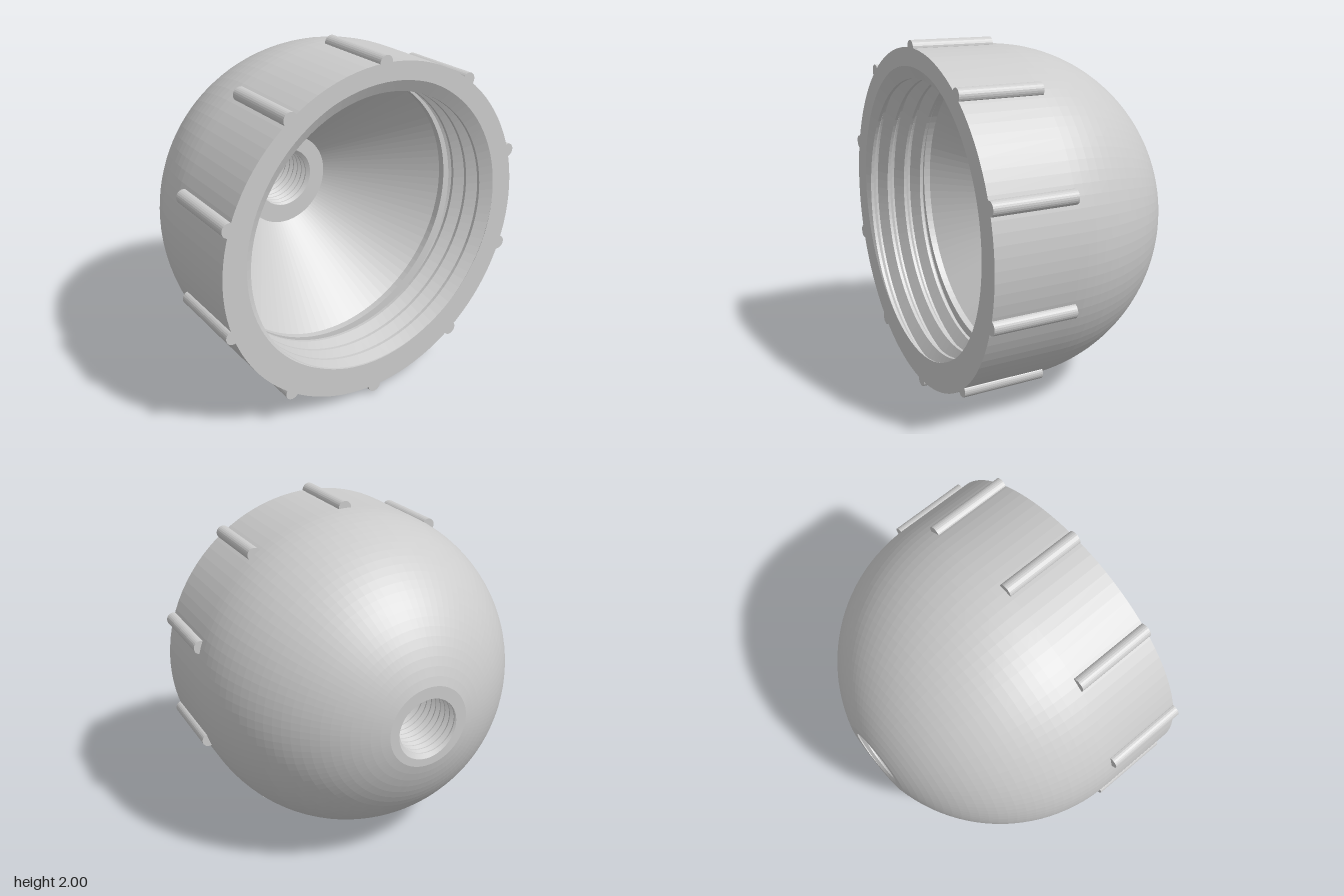
import * as THREE from 'three';

const SEGMENTS = 100;
const RADIUS = 0.96, FRONT = 0.7, BACK = -0.7, EQUATOR = 0.23;
const BACK_RADIUS = Math.sqrt(RADIUS ** 2 - (EQUATOR - BACK) ** 2);

const material = new THREE.MeshStandardMaterial({ color: 0xcccccc, flatShading: true });

// Surface swept round the z axis; profile(theta) returns a list of [radius, z].
function sweep(name, profile) {
  const position = [], index = [];
  let rows = 0;
  for (let j = 0; j <= SEGMENTS; j++) {
    const theta = (j / SEGMENTS) * Math.PI * 2;
    const points = profile(theta);
    rows = points.length;
    for (const [r, z] of points) position.push(r * Math.cos(theta), r * Math.sin(theta), z);
  }
  for (let j = 0; j < SEGMENTS; j++) {
    for (let i = 0; i < rows - 1; i++) {
      const a = j * rows + i, b = a + rows;
      index.push(a, b, a + 1, b, b + 1, a + 1);
    }
  }
  const geometry = new THREE.BufferGeometry();
  geometry.setAttribute('position', new THREE.Float32BufferAttribute(position, 3));
  geometry.setIndex(index);
  geometry.computeVertexNormals();
  const mesh = new THREE.Mesh(geometry, material);
  mesh.name = name;
  return mesh;
}

// Internal right-hand thread: rows follow the helix and are clamped to both ends.
function threadProfile(theta, crest, root, pitch, top, bottom) {
  const start = top + pitch * (theta / (Math.PI * 2) - 0.25);
  const radiusAt = (z) => {
    const u = (start - z) / pitch;
    const d = Math.abs(u - Math.round(u));
    return THREE.MathUtils.lerp(root, crest, THREE.MathUtils.clamp((d - 0.06) / 0.36, 0, 1));
  };
  const points = [];
  const turns = Math.ceil((top - bottom) / pitch) + 1;
  for (let k = -1; k <= turns; k++) {
    for (const u of [-0.06, 0.06, 0.42, 0.58]) {
      const z = THREE.MathUtils.clamp(start - pitch * (k + u), bottom, top);
      points.push([radiusAt(z), z]);
    }
  }
  return points;
}

export function createModel() {
  const model = new THREE.Group();
  model.name = 'threadedDomeCap';

  // Outer shell: truncated dome running into a short cylinder
  const outer = [];
  const startAngle = Math.asin((BACK - EQUATOR) / RADIUS);
  for (let i = 0; i <= 24; i++) {
    const a = startAngle * (1 - i / 24);
    outer.push(new THREE.Vector2(RADIUS * Math.cos(a), EQUATOR + RADIUS * Math.sin(a)));
  }
  outer.push(new THREE.Vector2(RADIUS, FRONT));
  const shell = new THREE.Mesh(new THREE.LatheGeometry(outer, SEGMENTS).rotateX(Math.PI / 2), material);
  shell.name = 'domeShell';
  model.add(shell);

  // Flat rim, wide thread and the step behind it
  model.add(sweep('rimAndThread', (t) => [
    [RADIUS, FRONT],
    ...threadProfile(t, 0.79, 0.86, 0.11, FRONT, 0.32),
    [0.79, 0.32],
  ]));

  // Plain collar and funnel
  model.add(sweep('innerFunnel', () => [[0.79, 0.32], [0.79, 0.28], [0.28, -0.23]]));

  // Small threaded bore with a flat land at each end
  model.add(sweep('threadedBore', (t) => [
    [0.28, -0.23],
    ...threadProfile(t, 0.167, 0.193, 0.045, -0.23, BACK),
    [BACK_RADIUS, BACK],
  ]));

  // Grip ribs round the cylinder
  const length = FRONT - EQUATOR;
  const ribGeometry = new THREE.CylinderGeometry(0.04, 0.04, length, 24).rotateX(Math.PI / 2);
  const ribs = new THREE.Group();
  ribs.name = 'gripRibs';
  for (let i = 0; i < 10; i++) {
    const a = Math.PI / 2 + (i * Math.PI) / 5;
    const rib = new THREE.Mesh(ribGeometry, material);
    rib.name = 'gripRib';
    rib.position.set(RADIUS * Math.cos(a), RADIUS * Math.sin(a), EQUATOR + length / 2);
    ribs.add(rib);
  }
  model.add(ribs);

  // Stand on the ground
  for (const part of model.children) part.position.y = 1;
  return model;
}
